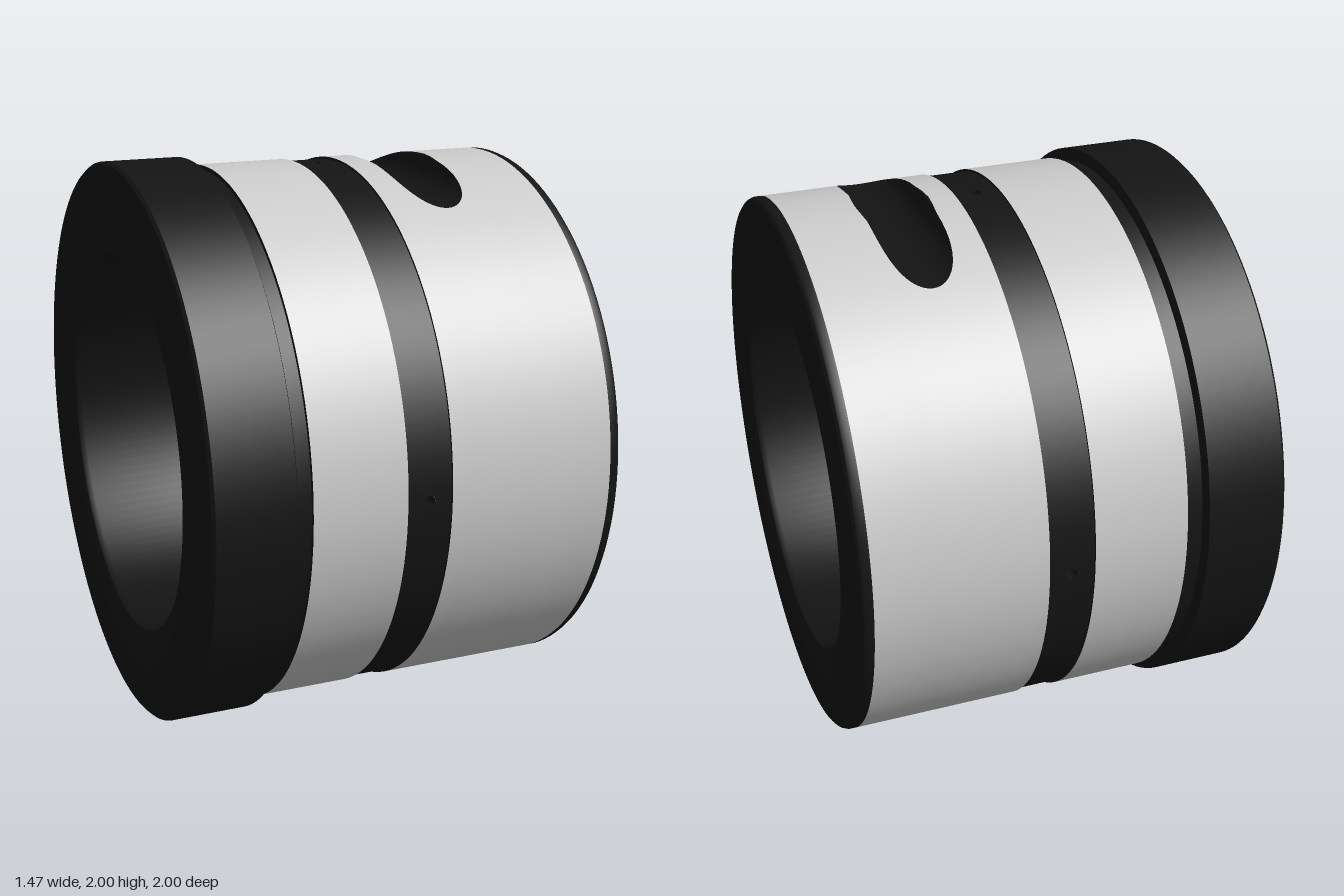
import * as THREE from 'three';
import { toCreasedNormals } from 'three/addons/utils/BufferGeometryUtils.js';

const SEG = 128;
const R = 0.97; // sleeve radius
const GROOVE = { x: 0.02, half: 0.08, outer: 0.962, inner: 0.70 };
const SLOT_X = 0.32;
const HOLE_R = 0.02;

const steel = new THREE.MeshStandardMaterial({ color: 0xcccccc });
const black = new THREE.MeshStandardMaterial({ color: 0x141414 });
const boreBlack = new THREE.MeshStandardMaterial({ color: 0x141414, side: THREE.BackSide });

// Point on a cylinder around the x axis, angle 0 at the top
const polar = (x, r, a) => [x, r * Math.cos(a), r * Math.sin(a)];

// Grid surface; radial = 1 or -1 sets exact outward or inward cylinder normals
function surface(nu, nv, fn, radial = 0) {
  const pos = [], index = [];
  for (let i = 0; i <= nu; i++) for (let j = 0; j <= nv; j++) pos.push(...fn(i, j));
  for (let i = 0; i < nu; i++) for (let j = 0; j < nv; j++) {
    const a = i * (nv + 1) + j, b = a + 1, d = a + nv + 1, c = d + 1;
    index.push(a, b, d, b, c, d);
  }
  const g = new THREE.BufferGeometry();
  g.setAttribute('position', new THREE.Float32BufferAttribute(pos, 3));
  g.setIndex(index);
  g.computeVertexNormals();
  if (radial) {
    const p = g.attributes.position, n = g.attributes.normal;
    for (let i = 0; i < p.count; i++) {
      const r = Math.hypot(p.getY(i), p.getZ(i)) * radial;
      n.setXYZ(i, 0, p.getY(i) / r, p.getZ(i) / r);
    }
  }
  return g;
}

export function createModel() {
  const group = new THREE.Group();
  const bushing = new THREE.Group();
  bushing.name = 'bushing';
  bushing.position.y = 1;
  group.add(bushing);

  function add(name, geometry, material) {
    const mesh = new THREE.Mesh(geometry, material);
    mesh.name = name;
    bushing.add(mesh);
    return mesh;
  }

  // Profile of [radius, x] pairs turned around the x axis
  function turned(name, profile, material) {
    const pts = profile.map(([r, x]) => new THREE.Vector2(r, x));
    const g = toCreasedNormals(new THREE.LatheGeometry(pts, SEG), 0.5);
    g.rotateZ(-Math.PI / 2);
    add(name, g, material);
  }

  const g0 = GROOVE.x - GROOVE.half, g1 = GROOVE.x + GROOVE.half;

  // Flange end with bore and relief neck
  turned('flange', [
    [GROOVE.inner, g0], [0.67, g0], [0.67, -0.705], [0.68, -0.725], [0.70, -0.735],
    [0.99, -0.735], [1, -0.725], [1, -0.455], [0.99, -0.45],
    [0.955, -0.45], [0.955, -0.39], [R, -0.39],
  ], black);

  // Plain end with rounded rim and bore
  turned('plainEnd', [
    [R, 0.695], [R, 0.715], [0.965, 0.727], [0.955, 0.735], [0.70, 0.735],
    [0.68, 0.725], [0.67, 0.705], [0.67, g1], [GROOVE.inner, g1],
  ], black);

  // Ground bands and shallow groove shoulders
  turned('narrowBand', [[R, -0.39], [R, g0]], steel);
  turned('grooveShoulderLeft', [[R, g0], [GROOVE.outer, g0]], black);
  turned('grooveShoulderRight', [[GROOVE.outer, g1], [R, g1]], black);
  turned('wideBandInner', [[R, g1], [R, SLOT_X - 0.13]], steel);
  turned('wideBandOuter', [[R, SLOT_X + 0.13], [R, 0.695]], steel);

  // Slot cross-section as [x, height], a round channel with eased lips
  const slot = [[SLOT_X - 0.13, R], [SLOT_X - 0.126, 0.968]];
  for (let i = 0; i <= 32; i++) {
    const t = (i / 32) * Math.PI;
    slot.push([SLOT_X - 0.12 * Math.cos(t), 0.963 - 0.108 * Math.sin(t)]);
  }
  slot.push([SLOT_X + 0.126, 0.968], [SLOT_X + 0.13, R]);
  const rows = slot.length - 1;
  const reach = (i) => Math.acos(Math.min(1, slot[i][1] / R));

  for (const turn of [0, Math.PI]) {
    // Steel wall between the two slots
    add('slottedBand', surface(rows, SEG / 2, (i, j) => {
      const f = reach(i);
      return polar(slot[i][0], R, turn + f + (Math.PI - 2 * f) * j / (SEG / 2));
    }, 1), steel);

    // Straight channel cut across the sleeve
    add('slot', surface(rows, 24, (i, j) => {
      const a = reach(i) * (j / 12 - 1);
      return polar(slot[i][0], slot[i][1] / Math.cos(a), turn + a);
    }), black);
  }

  // Outline of one groove quarter, as [angle, x] from -1 to 1
  const corners = [[1, -1], [1, 1], [-1, 1], [-1, -1]];
  const outline = [];
  corners.forEach((p, k) => {
    const q = corners[(k + 1) % 4], n = k % 2 ? 32 : 8;
    for (let i = 0; i < n; i++) {
      outline.push([p[0] + (q[0] - p[0]) * i / n, p[1] + (q[1] - p[1]) * i / n]);
    }
  });
  outline.push(outline[0]);
  const last = outline.length - 1;

  // Quarter of a groove floor with an oil hole in its middle
  function holedQuarter(r, mid, side) {
    return surface(last, 14, (i, j) => {
      const [a, b] = outline[side > 0 ? i : last - i];
      const k = HOLE_R / Math.hypot(a, b), v = j / 14;
      const angle = a * (k / r * (1 - v) + Math.PI / 4 * v);
      const x = b * (k * (1 - v) + GROOVE.half * v);
      return polar(GROOVE.x + x, r, mid + angle);
    }, side);
  }

  for (let q = 0; q < 4; q++) {
    const mid = q * Math.PI / 2;
    add('outerGroove', holedQuarter(GROOVE.outer, mid, 1), black);
    add('innerGroove', holedQuarter(GROOVE.inner, mid, -1), black);
    const depth = GROOVE.outer - GROOVE.inner;
    const hole = new THREE.CylinderGeometry(HOLE_R, HOLE_R, depth, 24, 1, true);
    hole.translate(GROOVE.x, GROOVE.inner + depth / 2, 0);
    hole.rotateX(mid);
    add('oilHole', hole, boreBlack);
  }

  return group;
}
